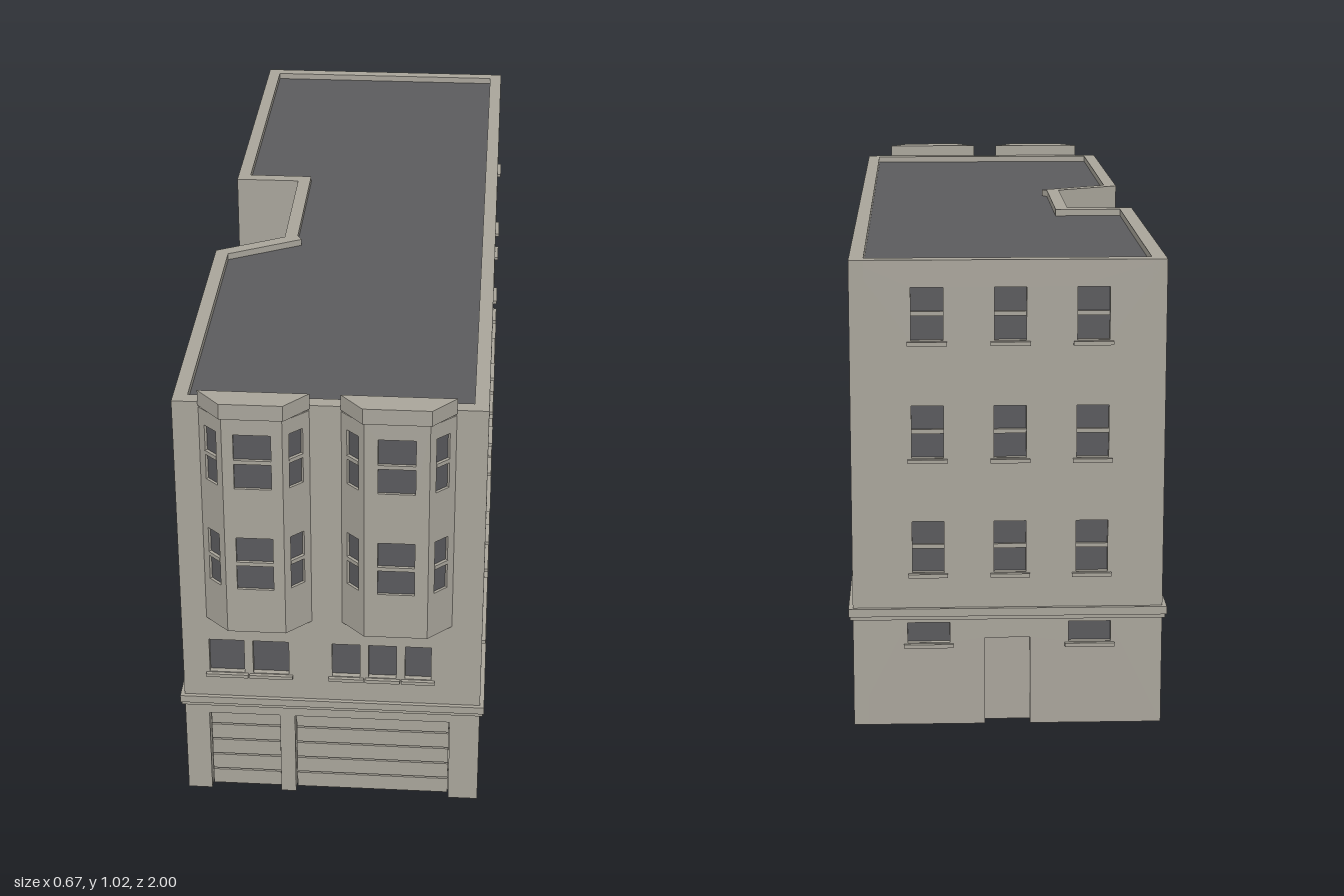
import * as THREE from 'three';

const mat = (name, color, side = THREE.FrontSide) => {
  const m = new THREE.MeshStandardMaterial({ color, side });
  m.name = name;
  return m;
};

export function createModel() {
  const stone = mat('stone', 0xa8a49a, THREE.DoubleSide);
  const glass = mat('glass', 0x59595c, THREE.DoubleSide);
  const roofing = mat('roofing', 0x5b5b5d, THREE.DoubleSide);
  const model = new THREE.Group();
  model.name = 'building';

  const add = (parent, name, geo, material, x = 0, y = 0, z = 0) => {
    const mesh = new THREE.Mesh(geo, material);
    mesh.name = name;
    mesh.position.set(x, y, z);
    parent.add(mesh);
    return mesh;
  };
  const box = (parent, name, w, h, d, x, y, z) =>
    add(parent, name, new THREE.BoxGeometry(w, h, d), stone, x, y, z);

  // Wall with recessed openings: a is its left end and b its right end, seen from outside.
  // Local x runs from a to b and local z points outward.
  function wall(name, [ax, az], [bx, bz], y0, y1, o = {}) {
    const { openings = [], doors = [], before = 0, after = 0, thick = 0.03, inset = 0.012 } = o;
    const g = new THREE.Group();
    g.name = name;
    g.position.set(ax, 0, az);
    g.rotation.y = Math.atan2(az - bz, bx - ax);
    const len = Math.hypot(bx - ax, bz - az);

    const s = new THREE.Shape();
    s.moveTo(-before, y0);
    for (const d of [...doors].sort((p, q) => p.u - q.u)) {
      s.lineTo(d.u - d.w / 2, y0);
      s.lineTo(d.u - d.w / 2, d.h);
      s.lineTo(d.u + d.w / 2, d.h);
      s.lineTo(d.u + d.w / 2, y0);
    }
    s.lineTo(len + after, y0);
    s.lineTo(len + after, y1);
    s.lineTo(-before, y1);
    s.closePath();
    for (const { u, w, lo, hi } of openings) {
      const h = new THREE.Path();
      h.moveTo(u - w / 2, lo);
      h.lineTo(u - w / 2, hi);
      h.lineTo(u + w / 2, hi);
      h.lineTo(u + w / 2, lo);
      h.closePath();
      s.holes.push(h);
    }
    const geo = new THREE.ExtrudeGeometry(s, { depth: thick, bevelEnabled: false });
    add(g, name + 'Face', geo.translate(0, 0, -thick), stone);

    for (const { u, w, lo, hi, bar, sill } of openings) {
      const mid = (lo + hi) / 2;
      add(g, 'windowGlass', new THREE.PlaneGeometry(w, hi - lo), glass, u, mid, -inset);
      if (bar === 'rail') box(g, 'meetingRail', w, 0.009, 0.008, u, mid, -inset + 0.003);
      if (bar === 'mullion') box(g, 'mullion', 0.007, hi - lo, 0.008, u, mid, -inset + 0.003);
      if (sill) box(g, 'sill', w + 0.016, 0.008, 0.02, u, lo - 0.006, -0.002);
    }
    for (const { u, w, h, slats, dark } of doors) {
      add(g, 'doorLeaf', new THREE.PlaneGeometry(w, h), dark ? glass : stone, u, h / 2, -0.027);
      // Garage doors get horizontal panels
      for (let i = 0; i < (slats || 0); i++)
        box(g, 'garagePanel', w - 0.004, h / slats - 0.004, 0.008, u, (i + 0.5) * h / slats, -0.02);
    }
    model.add(g);
    return { g, len };
  }

  const XL = -0.327, XR = 0.32, ZF = 0.942, ZB = -0.99;
  const plan = [[XL, ZF], [XR, ZF], [XR, ZB], [XL, ZB],
    [XL, -0.205], [-0.175, -0.205], [-0.175, 0.13], [XL, 0.215]];

  // Front: two garage doors and five windows
  const front = {
    doors: [{ u: -0.196 - XL, w: 0.156, h: 0.208, slats: 5 }, { u: 0.085 - XL, w: 0.34, h: 0.208, slats: 5 }],
    openings: [[-0.231, 0.076], [-0.135, 0.078], [0.028, 0.06], [0.107, 0.06], [0.184, 0.056]]
      .map(([x, w]) => ({ u: x - XL, w, lo: 0.32, hi: 0.404, sill: true })),
  };

  // Right side: two rows of sash windows above a row of wide ones
  const right = { openings: [] };
  for (const z of [0.753, 0.461, 0.072, -0.314, -0.7])
    for (const lo of [0.583, 0.83])
      right.openings.push({ u: ZF - z, w: 0.056, lo, hi: lo + 0.101, bar: 'rail', sill: true });
  for (const [z, w] of [[0.665, 0.24], [0.375, 0.24], [-0.12, 0.182], [-0.35, 0.182], [-0.584, 0.178]])
    right.openings.push({ u: ZF - z, w, lo: 0.326, hi: 0.4, bar: 'mullion', sill: true });

  // Back: three by three sash windows, two low windows and a door
  const back = { openings: [], doors: [{ u: XR + 0.003, w: 0.095, h: 0.19 }] };
  for (const x of [0.162, -0.008, -0.178])
    for (const lo of [0.333, 0.578, 0.824])
      back.openings.push({ u: XR - x, w: 0.066, lo, hi: lo + 0.11, bar: 'rail', sill: true });
  for (const x of [0.162, -0.175])
    back.openings.push({ u: XR - x, w: 0.088, lo: 0.18, hi: 0.224, sill: true });

  // Light well on the left side
  const well = {
    openings: [0.583, 0.83].map(lo => ({ u: 0.165, w: 0.056, lo, hi: lo + 0.101, bar: 'rail', sill: true })),
    doors: [{ u: 0.15, w: 0.07, h: 0.18, dark: true }],
    after: 0.015,
  };
  const wellBack = { doors: [{ u: 0.06, w: 0.06, h: 0.18, dark: true }], after: 0.03 };
  const wellSlant = { doors: [{ u: 0.084, w: 0.09, h: 0.185 }], before: 0.03 };

  const specs = [['frontWall', front], ['rightWall', right], ['backWall', back], ['leftRearWall', {}],
    ['wellRearWall', wellBack], ['wellSideWall', well], ['wellSlantedWall', wellSlant], ['leftFrontWall', {}]];
  specs.forEach(([name, o], i) => {
    const { g, len } = wall(name, plan[i], plan[(i + 1) % plan.length], 0, 0.99, o);
    // String course above the ground floor, in two steps
    box(g, 'stringCourse', len + 0.018, 0.017, 0.02, len / 2, 0.2485, -0.001);
    box(g, 'stringCourseLower', len + 0.012, 0.008, 0.016, len / 2, 0.236, -0.002);
  });

  // A flat plate or prism from plan points (x, z)
  const slab = (name, pts, y, h, material) => {
    const s = new THREE.Shape(pts.map(([x, z]) => new THREE.Vector2(x, -z)));
    const geo = h ? new THREE.ExtrudeGeometry(s, { depth: h, bevelEnabled: false }) : new THREE.ShapeGeometry(s);
    return add(model, name, geo.rotateX(-Math.PI / 2), material, 0, y, 0);
  };
  slab('roof', plan.map(([x, z], i) => [
    x + (i === 1 || i === 2 ? -0.01 : 0.01),
    z + [-0.01, -0.01, 0.01, 0.01, -0.01, -0.01, 0.01, 0.01][i]]), 0.975, 0, roofing);

  // Two canted bays on the front
  for (const [x0, x1, x2, x3] of [[-0.272, -0.22, -0.096, -0.045], [0.02, 0.07, 0.204, 0.255]]) {
    const zf = 0.991;
    const pts = [[x0, ZF], [x1, zf], [x2, zf], [x3, ZF]];
    const rows = [[0.57, 0.697], [0.816, 0.943]];
    for (let i = 0; i < 3; i++) {
      const a = pts[i], b = pts[i + 1];
      const u = Math.hypot(b[0] - a[0], b[1] - a[1]) / 2;
      wall(i === 1 ? 'bayFront' : 'baySide', a, b, 0.462, 0.978, {
        thick: 0.01, inset: 0.006,
        openings: rows.map(([lo, hi]) => ({ u, w: i === 1 ? 0.077 : 0.036, lo, hi, bar: 'rail' })),
      });
    }
    slab('bayBase', pts, 0.4625, 0.004, stone);
    slab('bayNeck', pts.map(([x, z]) => [x, z - 0.004]), 0.97, 0.016, stone);
    slab('bayCap', [[x0 - 0.001, ZF + 0.002], [x1 - 0.003, 1], [x2 + 0.003, 1], [x3 + 0.001, ZF + 0.002]],
      0.983, 0.035, stone);
  }
  return model;
}
